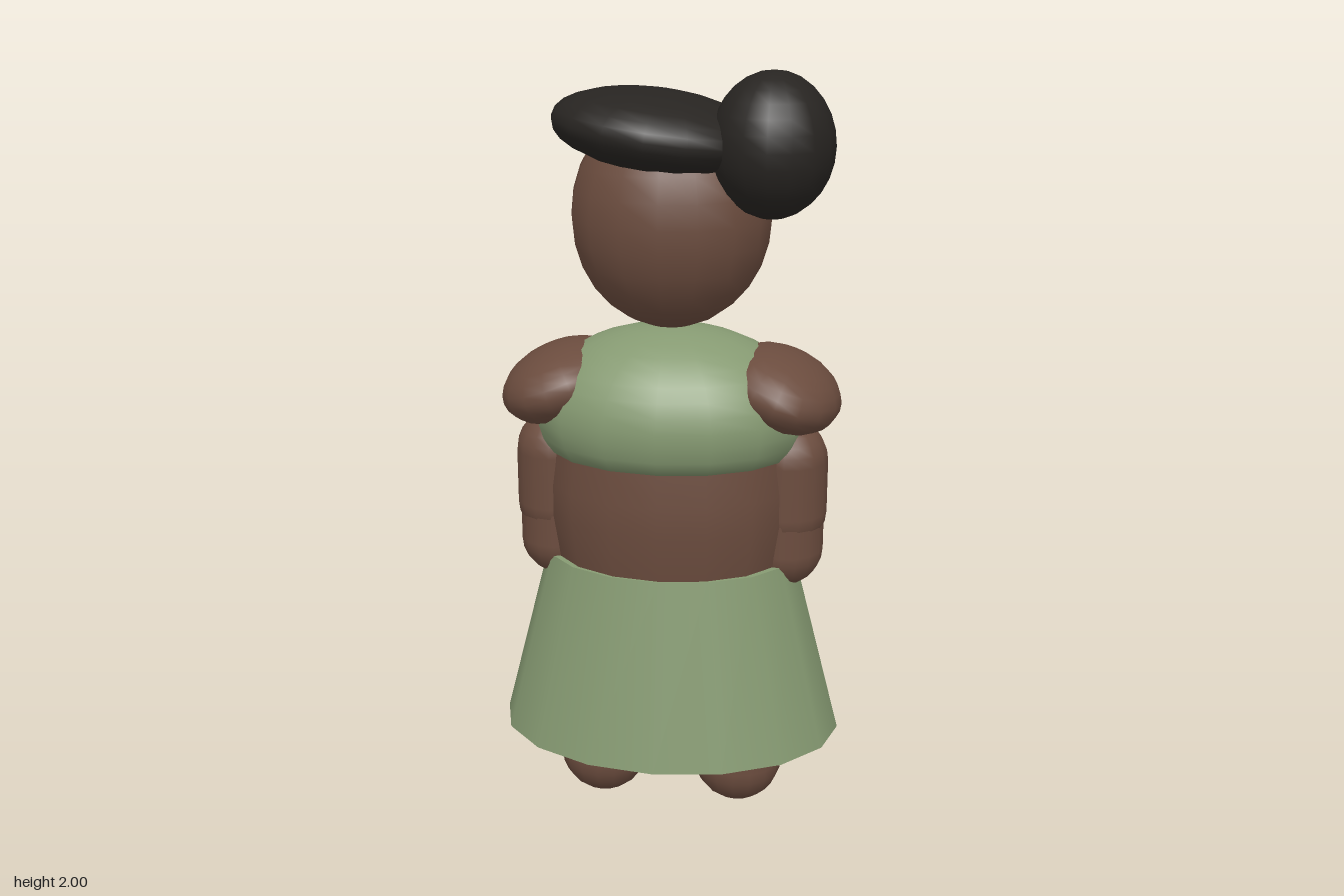
import * as THREE from 'three';

const skin = new THREE.MeshStandardMaterial({ color: 0x6b4c3e });
const cloth = new THREE.MeshStandardMaterial({ color: 0x869a72 });
const hair = new THREE.MeshStandardMaterial({ color: 0x272421 });

export function createModel() {
  const model = new THREE.Group();
  model.name = 'figure';

  const add = (name, geometry, material, position = [0, 0, 0], scale = [1, 1, 1], rotation = [0, 0, 0]) => {
    const mesh = new THREE.Mesh(geometry, material);
    mesh.name = name;
    mesh.position.set(...position);
    mesh.scale.set(...scale);
    mesh.rotation.set(...rotation);
    model.add(mesh);
    return mesh;
  };
  const ball = () => new THREE.SphereGeometry(1, 16, 14);
  const lathe = (points) => new THREE.LatheGeometry(points.map(([r, y]) => new THREE.Vector2(r, y)), 16);

  // Head and hair
  add('head', ball(), skin, [0, 1.63, 0], [0.255, 0.285, 0.23]);
  add('hairCap', ball(), hair, [-0.025, 1.845, 0.04], [0.27, 0.1, 0.245], [0, 0, -0.13]);
  add('hairBun', ball(), hair, [0.262, 1.823, 0.103], [0.152, 0.177, 0.168]);

  // Torso: domed top over a bare, slightly bulging waist
  const dome = [];
  for (let i = 0; i <= 12; i++) {
    const a = THREE.MathUtils.lerp(-0.45, Math.PI / 2, i / 12);
    dome.push([Math.max(0.36 * Math.cos(a), 0), 1.12 + 0.23 * Math.sin(a)]);
  }
  add('top', lathe([[0, dome[0][1]], ...dome]), cloth, [0, 0, 0], [1, 1, 0.755]);
  add('waist', lathe([[0.3, 0.68], [0.315, 0.75], [0.33, 0.85], [0.33, 0.93], [0.318, 1.02]]),
    skin, [0, 0, 0], [1, 1, 0.755]);

  // Flared skirt, closed underneath
  add('skirt', new THREE.CylinderGeometry(0.332, 0.46, 0.5, 16), cloth, [0, 0.48, 0], [1, 1, 0.724]);

  // Mirrored limbs
  for (const [side, s] of [['left', 1], ['right', -1]]) {
    add(side + 'Shoulder', ball(), skin, [s * 0.286, 1.19, 0], [0.163, 0.1, 0.205], [0, 0, -s * 0.35]);
    add(side + 'UpperArm', new THREE.CapsuleGeometry(0.107, 0.14, 6, 16), skin, [s * 0.306, 0.93, 0]);
    add(side + 'Forearm', new THREE.CapsuleGeometry(0.104, 0.15, 6, 16), skin, [s * 0.302, 0.83, 0]);
    add(side + 'UpperArmTop', new THREE.CapsuleGeometry(0.107, 0.1, 6, 16), skin, [s * 0.306, 0.95, 0]);
    add(side + 'Leg', new THREE.CapsuleGeometry(0.122, 0.25, 6, 16), skin, [s * 0.187, 0.247, 0]);
  }
  return model;
}
